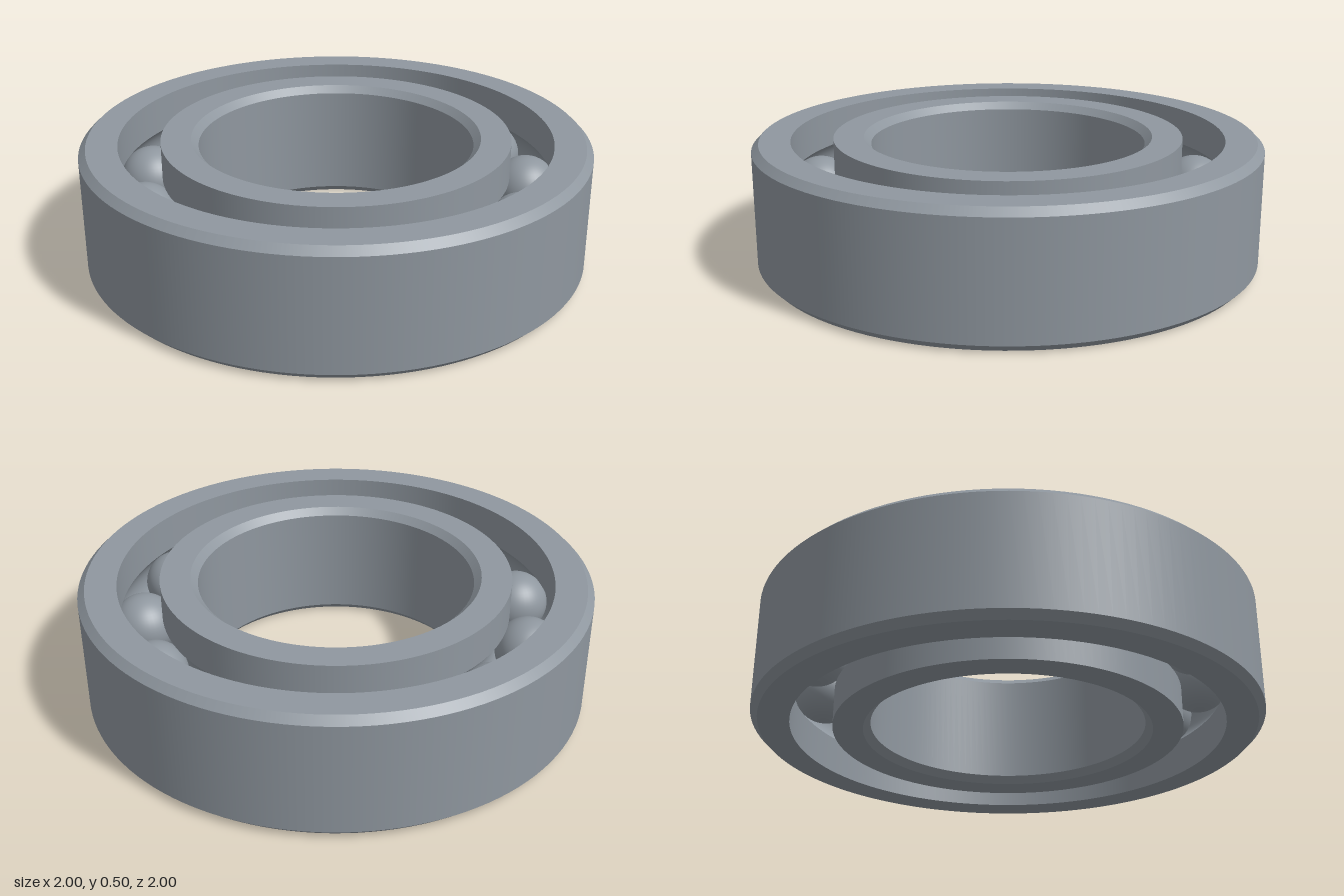
import * as THREE from 'three';
import { mergeGeometries } from 'three/addons/utils/BufferGeometryUtils.js';

const H = 0.5, PITCH = 0.768, BALL = 0.128, BALLS = 13;
const OUTER = 1, OUTER_IN = 0.85, INNER_OUT = 0.686, BORE = 0.54, CH = 0.028;

// Revolves each run of the profile on its own, so the edges between runs stay sharp
function ringGeometry(runs) {
  return mergeGeometries(runs.map(run =>
    new THREE.LatheGeometry(run.map(([r, y]) => new THREE.Vector2(r, y)), 128)));
}

// Straight runs through the given points
function straight(points) {
  return points.slice(1).map((p, i) => [points[i], p]);
}

// Ball groove arc cut into the wall at radius wall, from angle a to b
function groove(wall, side, up) {
  const r = BALL + 0.002;
  const half = Math.asin(Math.sqrt(r * r - (wall - PITCH) ** 2) / r);
  const arc = [];
  for (let i = 0; i <= 12; i++) {
    const t = half * (i / 6 - 1) * up;
    arc.push([PITCH + side * r * Math.cos(t), H / 2 + r * Math.sin(t)]);
  }
  return arc;
}

export function createModel() {
  const group = new THREE.Group();
  const steel = new THREE.MeshStandardMaterial({ color: 0x8f979f });
  steel.name = 'steel';

  function add(name, geometry) {
    const mesh = new THREE.Mesh(geometry, steel);
    mesh.name = name;
    group.add(mesh);
    return mesh;
  }

  // Outer ring: chamfered outside, grooved inside
  const outerGroove = groove(OUTER_IN, 1, -1);
  add('outerRing', ringGeometry([
    ...straight([[OUTER_IN, 0], [OUTER - CH, 0], [OUTER, CH], [OUTER, H - CH],
      [OUTER - CH, H], [OUTER_IN, H], outerGroove[0]]),
    outerGroove,
    [outerGroove[12], [OUTER_IN, 0]],
  ]));

  // Inner ring: grooved outside, chamfered bore
  const innerGroove = groove(INNER_OUT, -1, 1);
  add('innerRing', ringGeometry([
    [[INNER_OUT, 0], innerGroove[0]],
    innerGroove,
    ...straight([innerGroove[12], [INNER_OUT, H], [BORE + CH, H], [BORE, H - CH],
      [BORE, CH], [BORE + CH, 0], [INNER_OUT, 0]]),
  ]));

  // Balls evenly spaced in the race
  const ballGeometry = new THREE.SphereGeometry(BALL, 40, 28);
  const start = THREE.MathUtils.degToRad(12.1);
  for (let i = 0; i < BALLS; i++) {
    const a = start + i * Math.PI * 2 / BALLS;
    add('ball' + (i + 1), ballGeometry)
      .position.set(PITCH * Math.cos(a), H / 2, PITCH * Math.sin(a));
  }
  return group;
}
